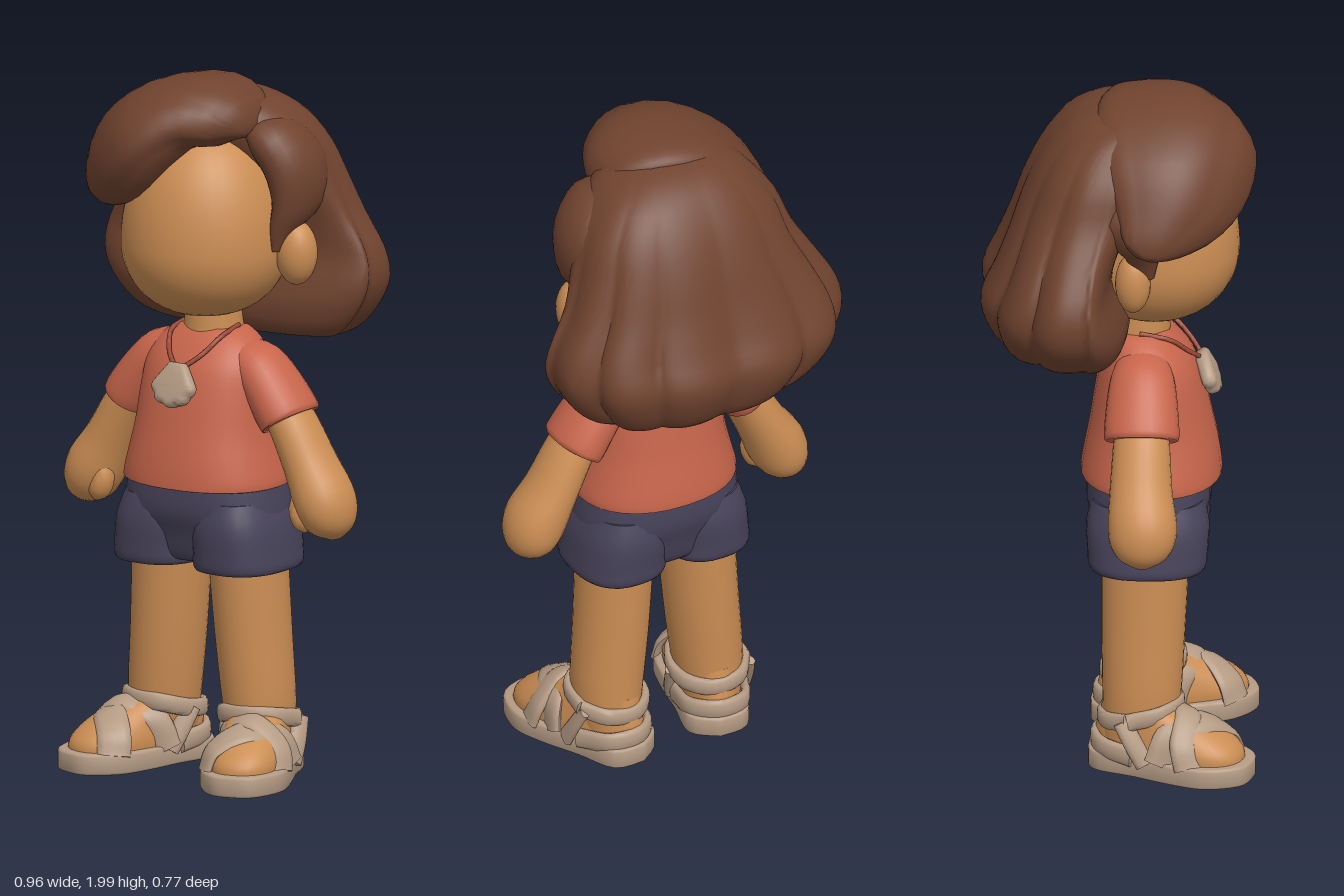
import * as THREE from 'three';
import { toCreasedNormals, mergeVertices } from 'three/addons/utils/BufferGeometryUtils.js';

const mat = (name, color) => Object.assign(new THREE.MeshStandardMaterial({ color }), { name });
const spow = (v, p) => Math.sign(v) * Math.abs(v) ** p;

// Smoothly subdivides rows of numbers
function smooth(rows, n = 3) {
  const out = [], at = i => rows[Math.max(0, Math.min(rows.length - 1, i))];
  for (let i = 0; i < rows.length - 1; i++) for (let k = 0; k < n; k++) {
    const t = k / n;
    out.push(rows[i].map((b, c) => {
      const a = at(i - 1)[c], d = at(i + 1)[c], e = at(i + 2)[c];
      return b + 0.5 * t * (d - a + t * (2 * a - 5 * b + 4 * d - e + t * (3 * (b - d) + e - a)));
    }));
  }
  out.push(rows[rows.length - 1]);
  return out;
}

// Joins closed rings of points and caps both ends
function skin(rings) {
  const n = rings[0].length, pos = rings.flat(2), idx = [];
  for (let i = 0; i < rings.length - 1; i++) for (let j = 0; j < n; j++) {
    const a = i * n + j, b = i * n + (j + 1) % n;
    idx.push(a, a + n, b, b, a + n, b + n);
  }
  [rings[0], rings[rings.length - 1]].forEach((ring, end) => {
    const c = pos.length / 3, base = end ? (rings.length - 1) * n : 0;
    for (let k = 0; k < 3; k++) pos.push(ring.reduce((s, p) => s + p[k], 0) / n);
    for (let j = 0; j < n; j++) {
      const a = base + j, b = base + (j + 1) % n;
      idx.push(c, end ? b : a, end ? a : b);
    }
  });
  const g = new THREE.BufferGeometry();
  g.setAttribute('position', new THREE.Float32BufferAttribute(pos, 3));
  g.setIndex(idx);
  return g;
}

// Upright stack, rows are [y, centre x, half width, front z, back z, widest z]
function stack(rows, { p = 0.9, n = 32, ripple = () => 1 } = {}) {
  return skin(smooth(rows).map(([y, cx, w, zf, zb, zm = (zf + zb) / 2]) =>
    Array.from({ length: n }, (_, j) => {
      const a = j / n * Math.PI * 2, s = spow(Math.sin(a), p), r = ripple(a, y);
      return [cx + w * spow(Math.cos(a), p) * r, y, zm + (s > 0 ? zf - zm : zm - zb) * s * r];
    })));
}

// Limb or lock along a path, rows are [x, y, z, radius across, radius in depth]
function limb(rows, { p = 1, shear = 0, n = 24, ripple = () => 1 } = {}) {
  const rs = smooth(rows);
  return skin(rs.map(([x, y, z, ra, rb], i) => {
    const a = rs[Math.max(0, i - 1)], b = rs[Math.min(rs.length - 1, i + 1)];
    const l = Math.hypot(b[0] - a[0], b[1] - a[1]), tx = (b[0] - a[0]) / l, ty = (b[1] - a[1]) / l;
    return Array.from({ length: n }, (_, j) => {
      const t = j / n * Math.PI * 2, r = ripple(t), u = ra * r * spow(Math.cos(t), p);
      return [x + ty * u, y - tx * u, z + rb * r * spow(Math.sin(t), p) - shear * u];
    });
  }));
}

// Flat strap along points, facing away from centre(point)
function band(pts, halfWidth, centre) {
  const curve = new THREE.CatmullRomCurve3(pts.map(q => new THREE.Vector3(...q)));
  return skin(Array.from({ length: 33 }, (_, i) => {
    const p = curve.getPoint(i / 32), t = curve.getTangent(i / 32);
    const out = p.clone().sub(centre(p));
    out.addScaledVector(t, -out.dot(t)).normalize();
    const side = out.clone().cross(t);
    return Array.from({ length: 12 }, (_, j) => {
      const a = j / 6 * Math.PI;
      return p.clone().addScaledVector(out, 0.014 * spow(Math.cos(a), 0.8))
        .addScaledVector(side, halfWidth * spow(Math.sin(a), 0.8)).toArray();
    });
  }));
}

const ball = (x, y, z, rx, ry, rz) =>
  new THREE.SphereGeometry(1, 24, 18).scale(rx, ry, rz).translate(x, y, z);

function mirrored(geo) {
  const g = geo.clone().scale(-1, 1, 1), a = g.index.array;
  for (let i = 0; i < a.length; i += 3) [a[i], a[i + 1]] = [a[i + 1], a[i]];
  return g;
}

export function createModel() {
  const model = new THREE.Group();
  model.name = 'figure';
  const skinTone = mat('skin', 0xcb8d53), hair = mat('brown hair', 0x70432f);
  const red = mat('coral shirt', 0xc7654b), navy = mat('navy cloth', 0x48435a);
  const beige = mat('beige leather', 0xb59b84), string = mat('necklace cord', 0x9c4a38);
  const add = (name, geo, material) => {
    geo.computeVertexNormals();
    const m = new THREE.Mesh(toCreasedNormals(geo, 1.0), material);
    m.name = name;
    model.add(m);
  };
  const pair = (name, geo, material) => {
    add('left' + name, geo, material);
    add('right' + name, mirrored(geo), material);
  };

  // Head: egg with a longer upper half
  const head = new THREE.SphereGeometry(1, 36, 28), hp = head.attributes.position;
  for (let i = 0; i < hp.count; i++) {
    const y = hp.getY(i), r = Math.hypot(hp.getX(i), hp.getZ(i)), k = r > 1e-5 ? r ** -0.13 : 1;
    hp.setXYZ(i, hp.getX(i) * k * 0.238, 1.52 + y * (y > 0 ? 0.34 : 0.21), 0.1 + hp.getZ(i) * k * 0.24);
  }
  add('head', head, skinTone);
  add('neck', new THREE.CylinderGeometry(0.075, 0.09, 0.22, 24).translate(0, 1.31, 0.06), skinTone);
  add('leftEar', ball(0.272, 1.51, 0.045, 0.06, 0.092, 0.058), skinTone);
  add('rightEar', ball(-0.232, 1.5, 0.045, 0.05, 0.088, 0.05), skinTone);

  // Back hair: bob with vertical strands
  add('backHair', stack([
    [1.285, 0.0, 0.24, -0.04, -0.22, -0.1],
    [1.25, 0.01, 0.29, -0.01, -0.285, -0.09],
    [1.28, 0.0, 0.36, 0.025, -0.34, -0.08],
    [1.35, -0.01, 0.425, 0.035, -0.375, -0.08],
    [1.42, -0.012, 0.452, 0.015, -0.385, -0.08],
    [1.5, -0.012, 0.44, -0.01, -0.35, -0.085],
    [1.6, -0.01, 0.385, 0.02, -0.31, -0.08],
    [1.7, 0.0, 0.335, 0.085, -0.275, -0.06],
    [1.8, 0.0, 0.298, 0.14, -0.23, -0.04],
    [1.88, 0.0, 0.24, 0.17, -0.175, -0.02],
    [1.93, -0.01, 0.18, 0.16, -0.115, 0.02],
    [1.955, -0.01, 0.1, 0.13, -0.05, 0.04],
    [1.96, -0.01, 0.02, 0.07, 0.0, 0.04],
  ], {
    p: 0.87, n: 160,
    ripple: (a, y) => {
      const depth = 0.085 * Math.min(1, Math.max(0.1, (1.95 - y) / 0.45));
      const back = Math.max(0, Math.min(1, 0.4 - 2 * Math.sin(a)));
      return 1 + depth * back * (Math.abs(Math.sin(6 * a + (y - 1.4) * 0.8)) ** 0.7 - 0.8);
    },
  }), hair);

  // Swept fringe and side locks
  add('fringe', limb([
    [0.175, 1.855, 0.12, 0.015, 0.04], [0.13, 1.885, 0.13, 0.07, 0.12],
    [0.03, 1.905, 0.14, 0.095, 0.185], [-0.08, 1.86, 0.16, 0.13, 0.215],
    [-0.18, 1.775, 0.165, 0.143, 0.19], [-0.27, 1.7, 0.15, 0.105, 0.14],
    [-0.34, 1.65, 0.11, 0.052, 0.08], [-0.368, 1.63, 0.1, 0.012, 0.02],
  ], { p: 0.85, shear: 0.45, n: 60, ripple: t => 0.96 + 0.045 * Math.abs(Math.sin(2.5 * t + 0.6)) }), hair);
  add('leftSideLock', limb([
    [0.14, 1.86, 0.06, 0.02, 0.06], [0.2, 1.835, 0.05, 0.065, 0.105],
    [0.255, 1.76, 0.03, 0.075, 0.115], [0.268, 1.66, 0.03, 0.06, 0.1],
    [0.247, 1.58, 0.075, 0.032, 0.05], [0.238, 1.52, 0.09, 0.014, 0.025],
  ]), hair);
  add('rightSideLock', limb([
    [-0.2, 1.8, 0.06, 0.04, 0.08], [-0.27, 1.7, 0.04, 0.07, 0.1],
    [-0.247, 1.59, 0.07, 0.035, 0.05], [-0.238, 1.52, 0.08, 0.014, 0.025],
  ]), hair);

  // Shirt and sleeves
  add('shirt', stack([
    [0.87, 0, 0.2, 0.25, -0.07], [0.838, 0, 0.236, 0.287, -0.102], [0.86, 0, 0.24, 0.29, -0.105],
    [0.92, 0, 0.225, 0.282, -0.095], [1.0, 0, 0.207, 0.265, -0.08],
    [1.1, 0, 0.197, 0.242, -0.065], [1.18, 0, 0.185, 0.215, -0.05],
    [1.24, 0, 0.15, 0.172, -0.035], [1.275, 0, 0.1, 0.135, -0.015],
  ]), red);
  pair('Sleeve', limb([
    [0.09, 1.225, 0.07, 0.03, 0.06], [0.155, 1.18, 0.07, 0.068, 0.088],
    [0.21, 1.12, 0.07, 0.076, 0.1], [0.263, 1.045, 0.07, 0.08, 0.106],
    [0.27, 1.035, 0.07, 0.074, 0.098],
  ]), red);

  // Arms with mitten hands
  pair('Arm', limb([
    [0.21, 1.12, 0.07, 0.055, 0.07], [0.28, 1.02, 0.07, 0.065, 0.08],
    [0.34, 0.91, 0.07, 0.072, 0.088], [0.385, 0.83, 0.075, 0.084, 0.097],
    [0.408, 0.775, 0.075, 0.076, 0.09], [0.422, 0.735, 0.075, 0.052, 0.062],
    [0.428, 0.712, 0.075, 0.012, 0.015],
  ]), skinTone);
  pair('Thumb', limb([
    [0.345, 0.86, 0.11, 0.02, 0.025], [0.338, 0.8, 0.12, 0.032, 0.036],
    [0.352, 0.755, 0.12, 0.03, 0.034], [0.362, 0.732, 0.12, 0.008, 0.01],
  ]), skinTone);

  // Shorts: hips and two cuffed legs
  add('shortsHips', stack([
    [0.615, 0, 0.2, 0.19, -0.025], [0.63, 0, 0.23, 0.215, -0.05], [0.7, 0, 0.243, 0.236, -0.07],
    [0.77, 0, 0.243, 0.26, -0.09], [0.86, 0, 0.228, 0.255, -0.085],
  ], { p: 0.8 }), navy);
  pair('ShortsLeg', stack([
    [0.63, 0.135, 0.105, 0.21, -0.045], [0.6, 0.135, 0.124, 0.24, -0.07],
    [0.615, 0.135, 0.133, 0.251, -0.083], [0.65, 0.134, 0.131, 0.254, -0.085],
    [0.73, 0.127, 0.128, 0.257, -0.088], [0.8, 0.12, 0.11, 0.24, -0.07],
  ], { p: 0.8 }), navy);
  pair('Leg', stack([
    [0.07, 0.165, 0.08, 0.16, -0.045], [0.2, 0.162, 0.1, 0.178, -0.042],
    [0.4, 0.145, 0.105, 0.19, -0.045], [0.66, 0.128, 0.108, 0.203, -0.045],
  ], { p: 1 }), skinTone);

  // Sandals and feet, modelled straight then turned outward
  const turned = g => g.rotateY(0.33).translate(0.15, 0, 0);
  const outline = new THREE.Shape(new THREE.SplineCurve([
    [0, 0.085], [0.085, 0.045], [0.1, -0.08], [0.118, -0.2], [0.117, -0.3], [0.065, -0.385], [0, -0.402],
    [-0.065, -0.385], [-0.117, -0.3], [-0.118, -0.2], [-0.1, -0.08], [-0.085, 0.045], [0, 0.085],
  ].map(q => new THREE.Vector2(...q))).getPoints(48));
  const sole = mergeVertices(new THREE.ExtrudeGeometry(outline, {
    depth: 0.044, bevelEnabled: true, bevelSize: 0.008, bevelThickness: 0.008, bevelOffset: -0.008, bevelSegments: 2,
  }).deleteAttribute('uv').deleteAttribute('normal').rotateX(-Math.PI / 2).translate(0, 0.012, 0));
  pair('Sole', turned(sole), beige);
  pair('Foot', turned(stack([
    [0.05, 0, 0.098, 0.375, -0.06, 0.24], [0.085, 0, 0.1, 0.37, -0.065, 0.23],
    [0.12, 0, 0.094, 0.335, -0.06, 0.19], [0.155, 0, 0.086, 0.275, -0.05, 0.13],
    [0.2, 0, 0.08, 0.175, -0.04, 0.07],
  ])), skinTone);
  const overFoot = p => new THREE.Vector3(0, 0.04, p.z - 0.06), roundLeg = p => new THREE.Vector3(-0.01, p.y, 0.065);
  const straps = [
    ['ToeStrap', 0.048, overFoot, [[-0.1, 0.055, 0.31], [-0.08, 0.112, 0.295], [0, 0.158, 0.255], [0.08, 0.138, 0.195], [0.106, 0.055, 0.165]]],
    ['CrossStrap', 0.04, overFoot, [[0.106, 0.055, 0.25], [0.09, 0.118, 0.23], [0.01, 0.18, 0.215], [-0.08, 0.148, 0.16], [-0.106, 0.055, 0.125]]],
    ['OuterStrap', 0.028, overFoot, [[0.102, 0.05, 0.12], [0.104, 0.11, 0.085], [0.1, 0.17, 0.05]]],
    ['InnerStrap', 0.028, overFoot, [[-0.102, 0.05, 0.12], [-0.108, 0.11, 0.085], [-0.11, 0.17, 0.05]]],
    ['HeelStrap', 0.03, roundLeg, [[0.1, 0.065, 0.08], [0.075, 0.08, -0.025], [0, 0.085, -0.062], [-0.075, 0.08, -0.025], [-0.1, 0.065, 0.08]]],
    ['AnkleStrap', 0.026, roundLeg, [
      [0.1, 0.168, 0.065], [0.06, 0.188, 0.15], [-0.02, 0.194, 0.175], [-0.095, 0.188, 0.14],
      [-0.114, 0.168, 0.065], [-0.085, 0.156, -0.01], [-0.01, 0.15, -0.045], [0.07, 0.156, -0.01], [0.1, 0.168, 0.065]]],
  ];
  for (const [name, w, centre, pts] of straps) pair(name, turned(band(pts, w, centre)), beige);

  // Necklace with a scallop shell
  const chain = new THREE.CatmullRomCurve3([[0.085, 1.28, 0.06], [0.085, 1.262, 0.145], [0.055, 1.215, 0.2],
    [0.008, 1.175, 0.237]].map(q => new THREE.Vector3(...q)));
  pair('NecklaceCord', new THREE.TubeGeometry(chain, 28, 0.007, 8), string);
  const fan = [[-0.024, 0.064]];
  for (let i = 0; i <= 40; i++) {
    const a = Math.PI * (0.93 + 1.14 * i / 40), r = 0.06 + 0.006 * Math.abs(Math.sin(i / 40 * Math.PI * 5));
    fan.push([Math.cos(a) * r * 1.05, Math.sin(a) * r * 0.93]);
  }
  fan.push([0.024, 0.064]);
  const shell = mergeVertices(new THREE.ExtrudeGeometry(new THREE.Shape(fan.map(q => new THREE.Vector2(...q))), {
    depth: 0.008, bevelEnabled: true, bevelSize: 0.02, bevelThickness: 0.018, bevelOffset: -0.018, bevelSegments: 4,
  }).deleteAttribute('uv').deleteAttribute('normal').rotateX(-0.35).translate(0, 1.128, 0.25));
  add('shellPendant', shell, beige);
  return model;
}
